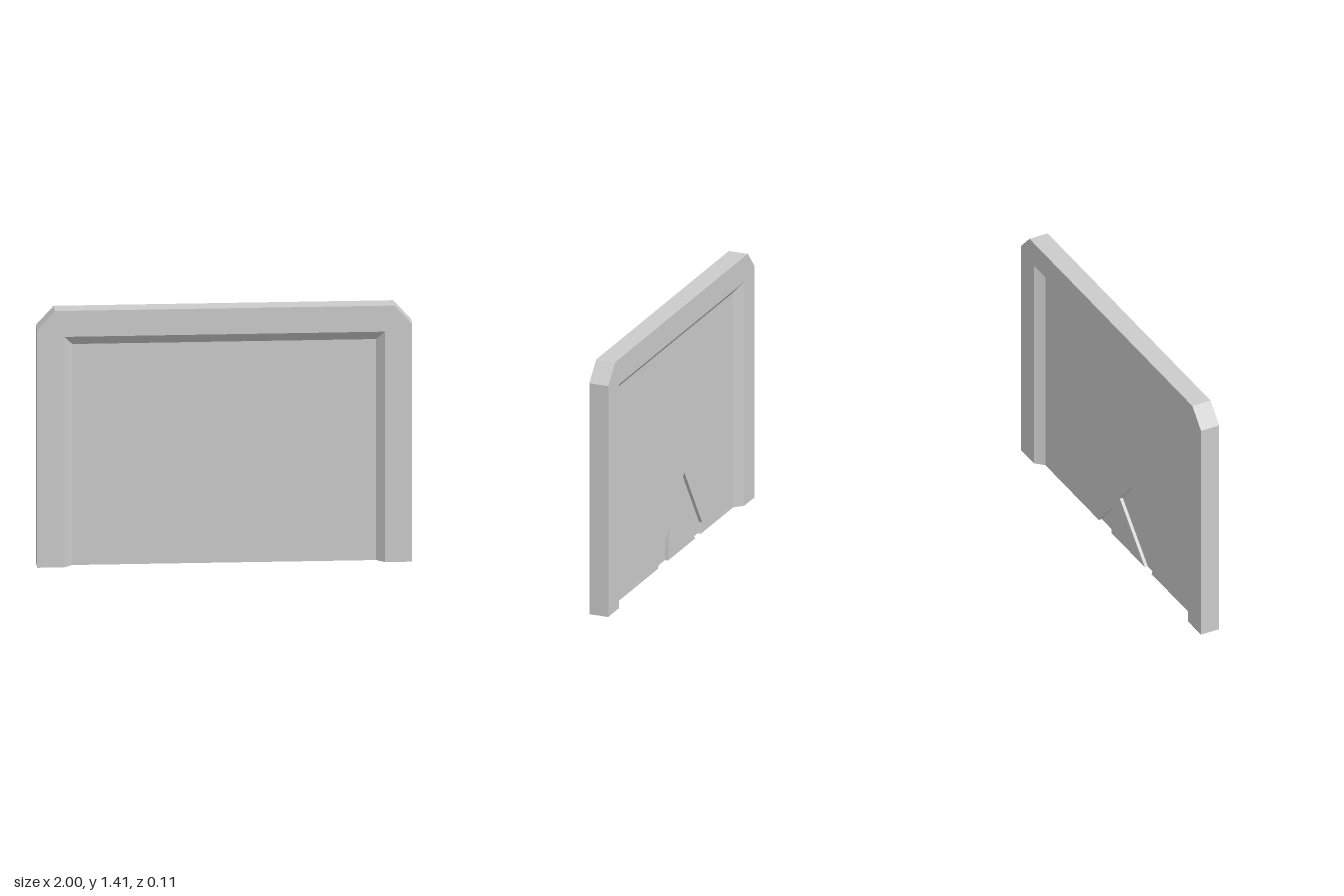
import * as THREE from 'three';

const HALF = 0.055;   // half depth of the frame
const PANEL = 0.01;   // half thickness of the recessed panel

// Frame: one bevelled cross-section carried up, over and down
function frameGeometry() {
  // stations: outer point, opening edge, panel edge (x, y)
  const half = [
    [[-1, 0], [-0.855, 0], [-0.81, 0]],
    [[-1, 1.31], [-0.855, 1.27], [-0.81, 1.218]],
    [[-0.905, 1.413], [-0.855, 1.27], [-0.81, 1.218]],
  ];
  const mirrored = half.map(s => s.map(([x, y]) => [-x, y])).reverse();
  const rings = [...half, ...mirrored].map(([o, i, p]) => [
    [...o, HALF], [...i, HALF], [...p, PANEL],
    [...p, -PANEL], [...i, -HALF], [...o, -HALF],
  ].map(v => new THREE.Vector3(...v)));

  const points = [];
  const tri = (a, b, c) => {
    if (new THREE.Triangle(a, b, c).getArea() > 1e-7) points.push(a, b, c);
  };
  for (let s = 0; s < rings.length - 1; s++) {
    for (let k = 0; k < 6; k++) {
      const n = (k + 1) % 6;
      const [a, b, c, d] = [rings[s][k], rings[s][n], rings[s + 1][n], rings[s + 1][k]];
      tri(a, b, c);
      tri(a, c, d);
    }
  }
  // feet of the two posts
  const first = rings[0], last = rings[rings.length - 1];
  for (let k = 1; k < 5; k++) {
    tri(first[0], first[k + 1], first[k]);
    tri(last[0], last[k], last[k + 1]);
  }
  const geometry = new THREE.BufferGeometry().setFromPoints(points);
  geometry.computeVertexNormals();
  return geometry;
}

// Panel layer behind the front sheet, with two notches rising from its lower edge
function notchedGeometry() {
  const outline = [
    [-0.81, 0],
    [-0.37, 0], [-0.388, 0.058], [-0.144, 0.425], [-0.016, 0.276], [-0.295, 0],
    [0.077, 0], [0.066, 0.175], [0.217, 0],
    [0.81, 0], [0.81, 1.218], [-0.81, 1.218],
  ];
  const shape = new THREE.Shape(outline.map(([x, y]) => new THREE.Vector2(x, y)));
  return new THREE.ExtrudeGeometry(shape, { depth: 0.018, bevelEnabled: false })
    .translate(0, 0, -PANEL);
}

export function createModel() {
  const group = new THREE.Group();
  const material = new THREE.MeshStandardMaterial({ color: 0xcccccc, flatShading: true });
  const add = (name, geometry) => {
    const mesh = new THREE.Mesh(geometry, material);
    mesh.name = name;
    group.add(mesh);
  };
  add('frame', frameGeometry());
  add('panelBack', notchedGeometry());
  add('panelFront', new THREE.BoxGeometry(1.62, 1.218, 0.002).translate(0, 0.609, PANEL - 0.001));
  return group;
}
